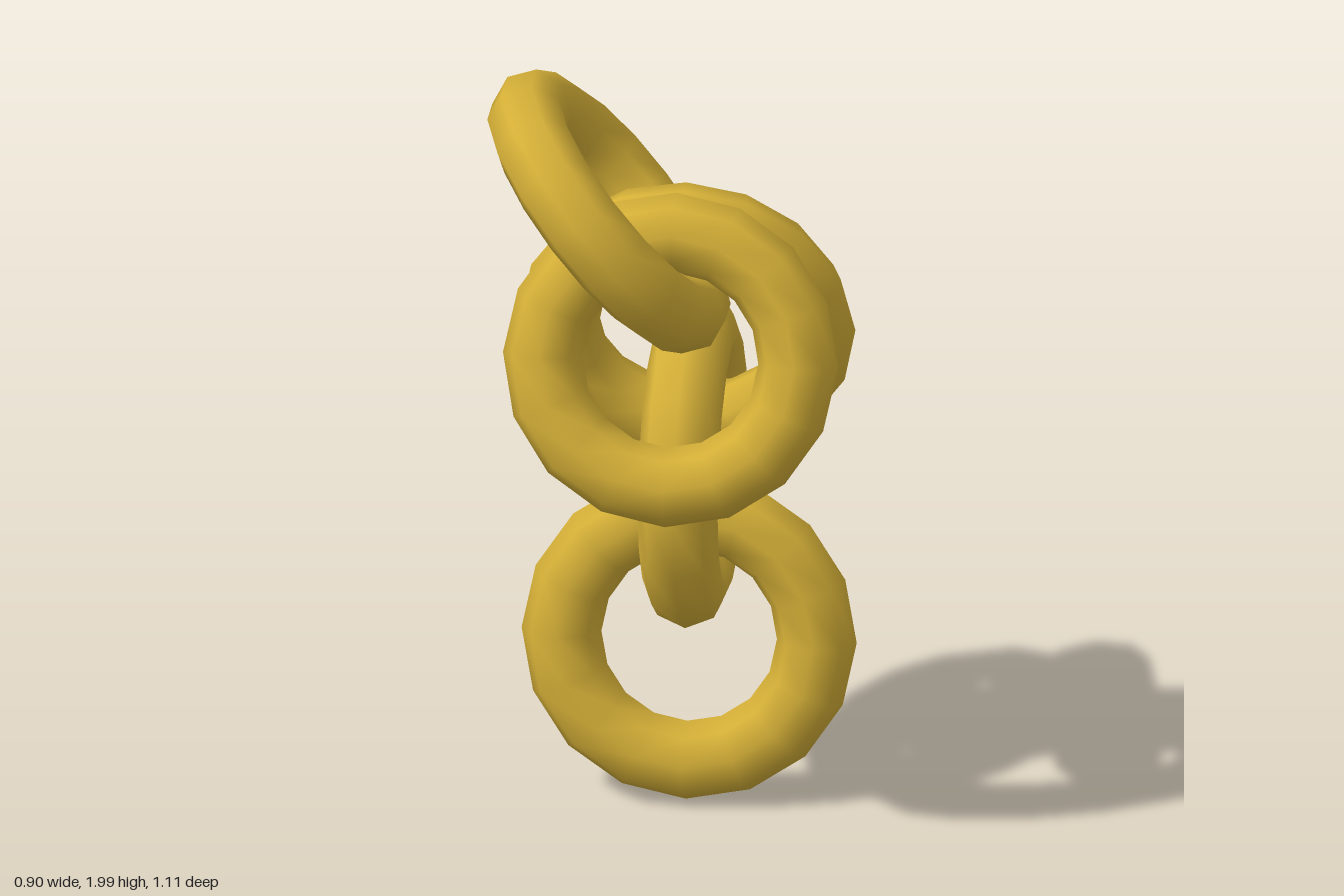
import * as THREE from 'three';

// Five interlocked chain links, each placed by its centre and the direction its hole faces.
export function createModel() {
  const model = new THREE.Group();
  model.name = 'chain';
  const gold = new THREE.MeshStandardMaterial({ color: 0xd4af37 });
  gold.name = 'gold';
  const ring = new THREE.TorusGeometry(0.32, 0.1, 8, 16);

  // Facing direction of an upright link whose top leans back by the given degrees
  const lean = (deg) => {
    const a = THREE.MathUtils.degToRad(deg);
    return [0, Math.sin(a), Math.cos(a)];
  };

  const links = [
    ['bottomLink', [0.027, 0.42, -0.063], lean(10)],
    ['lowerLink', [0.027, 0.865, -0.137], [1, 0, 0]],
    ['middleLink', [0.027, 1.285, -0.035], lean(-15)],
    ['frontLink', [0.027, 1.345, 0.333], lean(17)],
    ['topLink', [-0.15, 1.655, 0.14], [0.766, 0.64, -0.12]],
  ];

  for (const [name, centre, facing] of links) {
    const link = new THREE.Mesh(ring, gold);
    link.name = name;
    link.position.set(...centre);
    link.lookAt(new THREE.Vector3(...facing).add(link.position));
    model.add(link);
  }
  return model;
}
